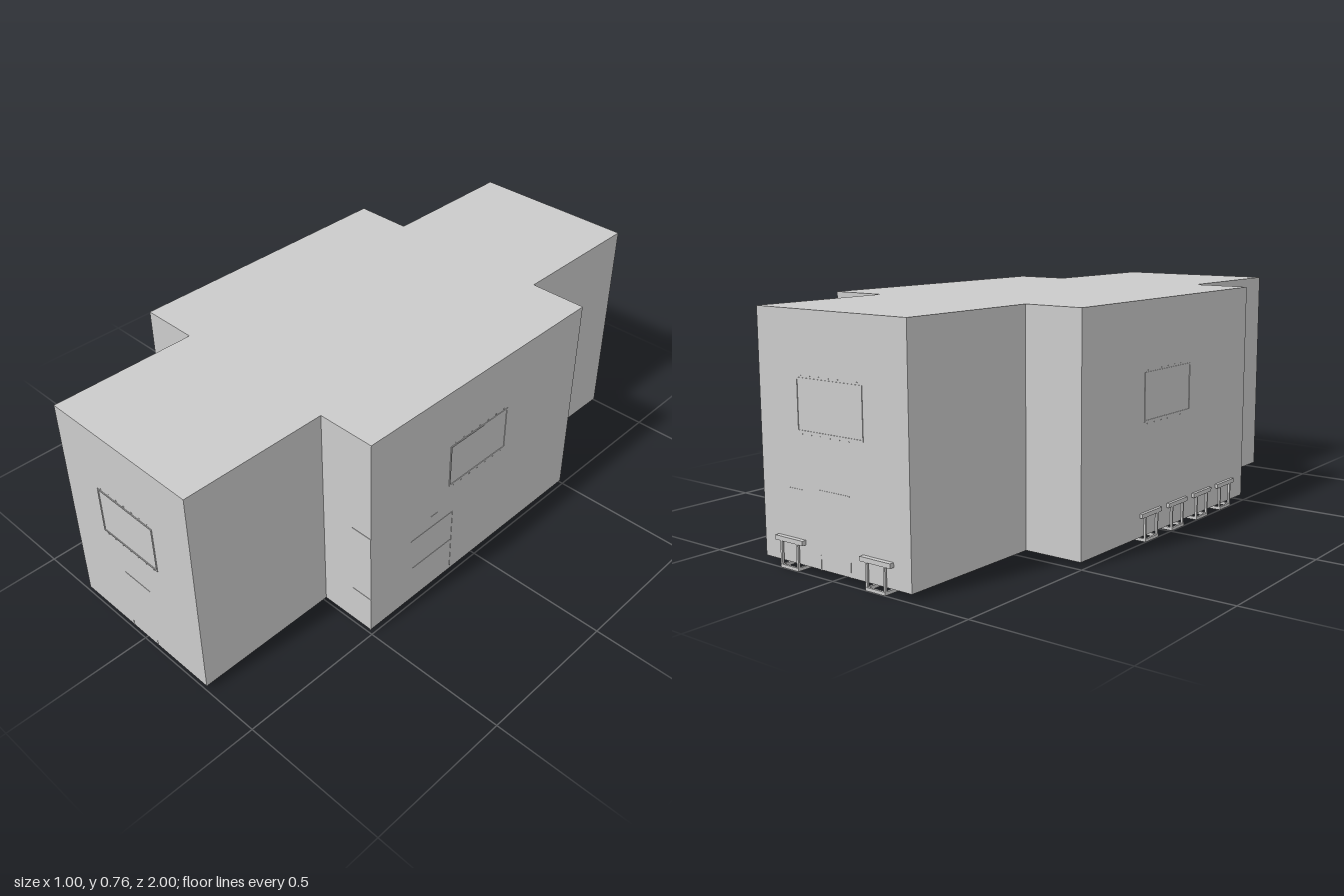
import * as THREE from 'three';

const material = new THREE.MeshStandardMaterial({ color: 0xcccccc, side: THREE.DoubleSide });
const FLOOR = 0.018, TOP = 0.757;

function add(parent, name, geometry, x = 0, y = 0, z = 0) {
  const mesh = new THREE.Mesh(geometry, material);
  mesh.name = name;
  mesh.position.set(x, y, z);
  parent.add(mesh);
  return mesh;
}

// Box given by its minimum and maximum corners
function block(parent, name, [x0, y0, z0], [x1, y1, z1]) {
  return add(parent, name, new THREE.BoxGeometry(x1 - x0, y1 - y0, z1 - z0),
    (x0 + x1) / 2, (y0 + y1) / 2, (z0 + z1) / 2);
}

// Local frame on a wall: local x runs along the wall, local z points outward
function wall(parent, name, x, z, angle) {
  const group = new THREE.Group();
  group.name = name;
  group.position.set(x, 0, z);
  group.rotation.y = angle;
  parent.add(group);
  return group;
}

// Thin strip lying on a wall
function strip(parent, name, x0, y0, x1, y1) {
  const t = 0.0012;
  return block(parent, name, [x0 - t, y0 - t, -0.003], [x1 + t, y1 + t, 0.0012]);
}

// Slim window frame with small fixing pins above and below
function windowFrame(parent, x0, x1, y0, y1) {
  const w = 0.005, d = 0.002;
  const shape = new THREE.Shape([[x0, y0], [x1, y0], [x1, y1], [x0, y1]]
    .map(([x, y]) => new THREE.Vector2(x, y)));
  shape.holes.push(new THREE.Path([[x0 + w, y0 + w], [x0 + w, y1 - w], [x1 - w, y1 - w], [x1 - w, y0 + w]]
    .map(([x, y]) => new THREE.Vector2(x, y))));
  add(parent, 'windowFrame', new THREE.ExtrudeGeometry(shape, { depth: d, bevelEnabled: false }));
  for (let i = 0; i < 7; i++) {
    const x = x0 + (x1 - x0) * (i + 0.5) / 7;
    for (const y of [y0 - 0.006, y1 + 0.006]) strip(parent, 'framePin', x - 0.001, y, x + 0.001, y);
  }
}

// Chair whose base loop runs under the floor and whose back stands outside the wall
function chair(parent, x, reach) {
  const group = new THREE.Group();
  group.name = 'chair';
  group.position.x = x;
  parent.add(group);
  const r = 0.0375, t = 0.007, inner = reach - 0.11;
  for (const s of [-1, 1]) {
    const a = s * r, b = s * (r - t), lo = Math.min(a, b), hi = Math.max(a, b);
    block(group, 'baseRunner', [lo, 0, inner], [hi, 0.01, reach]);
    block(group, 'backPost', [lo, 0, reach - 0.008], [hi, 0.08, reach - 0.001]);
  }
  block(group, 'baseInnerBar', [-r, 0, inner], [r, 0.01, inner + t]);
  block(group, 'baseOuterBar', [-r, 0, reach - t], [r, 0.01, reach]);
  block(group, 'backRail', [-0.058, 0.08, reach - 0.018], [0.058, 0.094, reach]);
}

export function createModel() {
  const model = new THREE.Group();
  model.name = 'building';

  // Cross-shaped shell
  const X0 = -0.49, X1 = 0.495, A0 = -0.29, A1 = 0.297;
  const Z0 = -0.985, Z1 = 0.998, M0 = -0.49, M1 = 0.5;
  const plan = [[A0, Z0], [A1, Z0], [A1, M0], [X1, M0], [X1, M1], [A1, M1],
    [A1, Z1], [A0, Z1], [A0, M1], [X0, M1], [X0, M0], [A0, M0]];
  const shape = new THREE.Shape(plan.map(([x, z]) => new THREE.Vector2(x, -z)));
  const shell = new THREE.ExtrudeGeometry(shape, { depth: TOP - FLOOR, bevelEnabled: false });
  shell.rotateX(-Math.PI / 2);
  add(model, 'shell', shell, 0, FLOOR, 0);

  // Front wall: window and a table edge
  const front = wall(model, 'frontWall', 0, Z1, 0);
  windowFrame(front, -0.13, 0.125, 0.375, 0.54);
  strip(front, 'tableEdge', -0.055, 0.25, 0.065, 0.25);
  for (const x of [-0.055, 0.065]) strip(front, 'tableLeg', x, FLOOR, x, 0.035);

  // Back wall: window, table edge and two chairs
  const back = wall(model, 'backWall', 0, Z0, Math.PI);
  windowFrame(back, -0.14, 0.122, 0.41, 0.565);
  strip(back, 'tableEdge', -0.06, 0.25, 0.06, 0.25);
  strip(back, 'shelfEdge', -0.18, 0.24, -0.13, 0.24);
  for (const x of [-0.06, 0.06]) strip(back, 'tableLeg', x, FLOOR, x, 0.06);
  for (const x of [-0.18, 0.167]) chair(back, x, 0.015);

  // Right-hand (-x) wall: window and a row of four chairs
  const right = wall(model, 'rightWall', X0, 0, -Math.PI / 2);
  windowFrame(right, -0.155, 0.12, 0.38, 0.535);
  for (const z of [-0.115, 0.045, 0.205, 0.365]) chair(right, z, 0.01);

  // Left-hand (+x) wall: window and cabinet edges
  const left = wall(model, 'leftWall', X1, 0, Math.PI / 2);
  windowFrame(left, -0.15, 0.125, 0.39, 0.548);
  strip(left, 'cabinetSide', -0.125, FLOOR, -0.125, 0.27);
  strip(left, 'cabinetTop', -0.32, 0.27, -0.125, 0.27);
  strip(left, 'cabinetShelf', -0.31, 0.15, -0.125, 0.15);
  strip(left, 'handle', -0.23, 0.315, -0.2, 0.315);

  // Cabinet edges on the short wall beside the front arm
  const step = wall(model, 'stepWall', 0, M1, 0);
  strip(step, 'cabinetTop', 0.42, 0.402, 0.494, 0.402);
  strip(step, 'cabinetShelf', 0.42, 0.15, 0.494, 0.15);
  strip(step, 'cabinetSide', 0.493, FLOOR, 0.493, 0.4);

  // Furniture feet showing beneath the floor
  const foot = new THREE.CylinderGeometry(0.011, 0.011, 0.006, 12);
  const feet = (x, z0, z1, n) => {
    for (let i = 0; i < n; i++) {
      for (const s of [-1, 1]) add(model, 'foot', foot, x + s * 0.03, FLOOR - 0.003, z0 + (z1 - z0) * i / (n - 1));
    }
  };
  feet(0.43, -0.44, 0.08, 8);
  feet(0.23, -0.83, -0.55, 5);
  feet(-0.17, -0.8, -0.58, 4);
  feet(-0.3, -0.45, -0.3, 3);
  const smallFoot = new THREE.CylinderGeometry(0.005, 0.005, 0.004, 8);
  for (const x of [-0.26, -0.22, 0.24, 0.27]) {
    for (const z of [0.92, 0.97]) add(model, 'smallFoot', smallFoot, x, FLOOR - 0.002, z);
  }
  return model;
}
